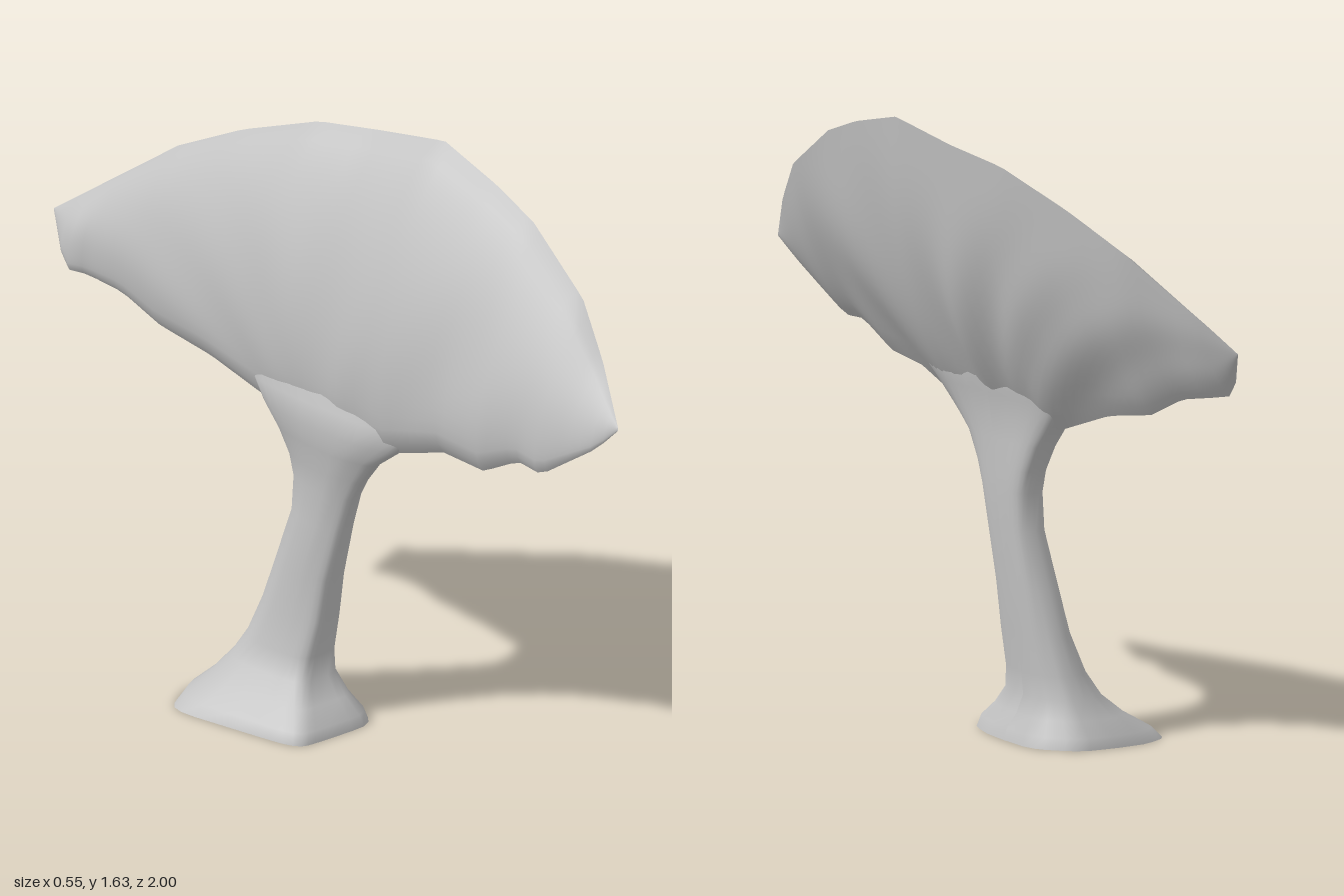
import * as THREE from 'three';

const bark = new THREE.MeshStandardMaterial({ color: 0xc0c0c0, side: THREE.DoubleSide });
bark.name = 'pale grey';

// Piecewise linear lookup in a list of [key, ...values] with falling keys
function lookup(table, k) {
  let i = 0;
  while (i < table.length - 2 && k < table[i + 1][0]) i++;
  const a = table[i], b = table[i + 1];
  const f = THREE.MathUtils.clamp((k - a[0]) / (b[0] - a[0]), 0, 1);
  return a.slice(1).map((v, n) => v + (b[n + 1] - v) * f);
}

// Indexed surface from rows of points
function grid(rows, flip) {
  const w = rows[0].length, index = [];
  for (let i = 0; i < rows.length - 1; i++) {
    for (let j = 0; j < w - 1; j++) {
      const a = i * w + j, b = a + w, c = b + 1, d = a + 1;
      if (flip) index.push(a, c, b, a, d, c);
      else index.push(a, b, c, a, c, d);
    }
  }
  const g = new THREE.BufferGeometry();
  g.setAttribute('position', new THREE.Float32BufferAttribute(rows.flat(2), 3));
  g.setIndex(index);
  g.computeVertexNormals();
  return g;
}

function add(group, name, geometry) {
  const m = new THREE.Mesh(geometry, bark);
  m.name = name;
  group.add(m);
}

// Canopy outline: upper rim and ragged lower edge as [z, y, x]
const RIM = [[1, 1.16, 0.11], [0.86, 1.28, 0.18], [0.73, 1.4, 0.225], [0.5, 1.53, 0.255],
  [0.35, 1.58, 0.262], [0.13, 1.63, 0.27], [-0.1, 1.59, 0.24], [-0.29, 1.56, 0.2],
  [-0.52, 1.475, 0.135], [-0.7, 1.385, 0.07], [-1, 1.15, -0.1]];
const HEM = [[1, 1.15, 0.11], [0.95, 1.09, 0.08], [0.78, 0.97, 0.035], [0.69, 0.975, 0.035],
  [0.57, 0.91, 0.02], [0.4, 0.9, 0.03], [0.2, 0.83, 0.02], [0.08, 0.83, 0.02],
  [-0.1, 0.84, 0.01], [-0.25, 0.83, 0], [-0.45, 0.9, -0.035],
  [-0.63, 0.93, -0.055], [-0.75, 0.99, -0.08], [-0.86, 1.01, -0.105], [-0.91, 1.02, -0.14], [-1, 1.149, -0.1]];

// Point on the canopy: t runs from hem to rim, side picks the +x or -x face.
// Folds fan out from the fork and fade towards the rim.
function canopyPoint(z, t, side) {
  const [yt, xt] = lookup(RIM, z), [yb, xb] = lookup(HEM, z);
  const size = (yt - yb) / 0.75, y = yb + (yt - yb) * t;
  const bulge = side > 0
    ? 0.07 * Math.sin(Math.PI * t ** 0.85)
    : -0.115 * Math.max(0, Math.sin(Math.PI * t)) ** 0.6;
  const angle = Math.atan2(z + 0.04, y - 0.6);
  const fade = Math.sin(Math.PI * t) * (1 - t) * size * (side > 0 ? 0.016 : 0.007);
  const fold = (Math.cos(angle * 10) + 0.6 * Math.sin(angle * 17 + 5 * t)) * fade;
  return [xb + (xt - xb) * t + bulge * size + fold, y, z];
}

function canopyFace(side) {
  const rows = [];
  for (let i = 0; i <= 60; i++) {
    const row = [];
    for (let j = 0; j <= 20; j++) row.push(canopyPoint(1 - i / 30, j / 20, side));
    rows.push(row);
  }
  return grid(rows, side < 0);
}

// Trunk sections: [y, xMin, xMax, zMin, zMax, lean of x along z], top to bottom.
// The topmost ones fan out and vanish inside the canopy.
const TRUNK = [[1.06, 0.04, 0.08, -0.4, 0.4, 0.1], [0.98, 0.01, 0.088, -0.36, 0.35, 0.1],
  [0.9, -0.035, 0.076, -0.31, 0.29, 0.08], [0.84, -0.045, 0.07, -0.26, 0.23, 0.06],
  [0.78, -0.04, 0.07, -0.215, 0.155, 0.03], [0.71, -0.03, 0.072, -0.185, 0.1, 0],
  [0.65, -0.03, 0.074, -0.165, 0.065, 0], [0.55, -0.033, 0.075, -0.17, 0.03, 0],
  [0.4, -0.055, 0.07, -0.215, 0, 0], [0.28, -0.07, 0.065, -0.255, -0.01, 0],
  [0.18, -0.1, 0.06, -0.29, -0.02, 0], [0.12, -0.135, 0.06, -0.32, -0.01, 0],
  [0.07, -0.2, 0.075, -0.35, 0.04, 0], [0.03, -0.275, 0.1, -0.385, 0.09, 0],
  [0, -0.305, 0.11, -0.395, 0.1, 0]];

// Lofted trunk, open underneath, with a pointed root towards -x, -z
function trunk() {
  const n = 32;
  return grid(TRUNK.map(([y, x0, x1, z0, z1, lean]) => {
    const row = [], flare = Math.max(0, 1 - y / 0.2), p = 0.75 - 0.2 * flare;
    for (let j = 0; j <= n; j++) {
      const a = (j / n) * Math.PI * 2, c = Math.cos(a), s = Math.sin(a);
      const wave = 1 + 0.03 * (Math.cos(5 * a + 1 + 4 * y) - 1);
      const uz = Math.sign(s) * Math.abs(s) ** p * wave;
      const taper = c < 0 ? 1 - 0.24 * (uz + 1) * flare : 1;
      const ux = Math.sign(c) * Math.abs(c) ** p * wave * taper;
      const z = (z0 + z1) / 2 + uz * (z1 - z0) / 2;
      row.push([(x0 + x1) / 2 + ux * (x1 - x0) / 2 + lean * z, y, z]);
    }
    return row;
  }), true);
}

export function createModel() {
  const tree = new THREE.Group();
  tree.name = 'tree';
  add(tree, 'canopyUnderside', canopyFace(1));
  add(tree, 'canopyTop', canopyFace(-1));
  add(tree, 'trunk', trunk());
  return tree;
}
